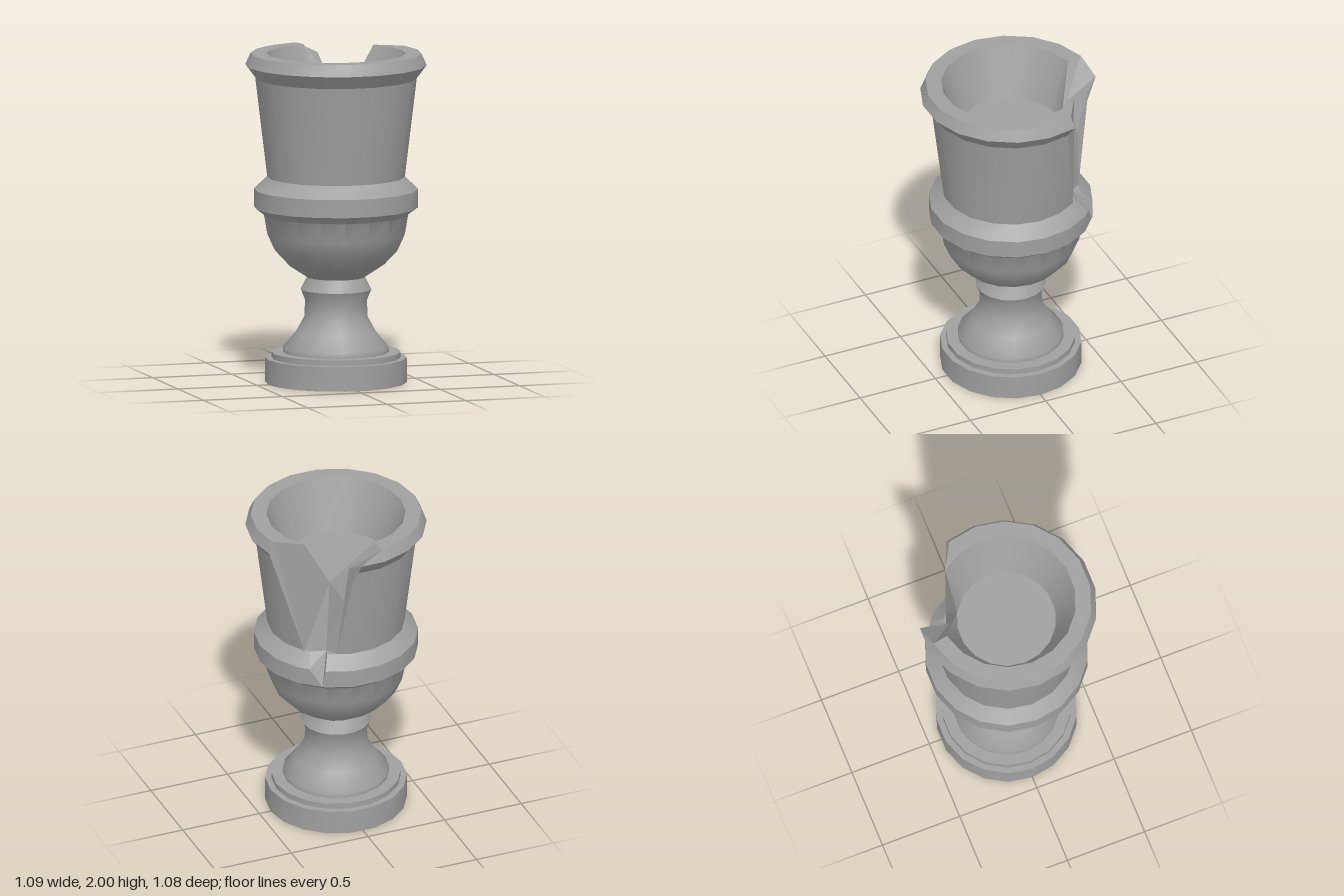
import * as THREE from 'three';
import { toCreasedNormals } from 'three/addons/utils/BufferGeometryUtils.js';

const STEP = 20; // 18 sides
const STONE = 0xa0a0a0;
const rad = THREE.MathUtils.degToRad;

// Point on an 18-sided ring: angle in degrees from +x towards the back
function at(r, y, deg) {
  const m = ((deg % STEP) + STEP) % STEP;
  const f = r * Math.cos(rad(STEP / 2)) / Math.cos(rad(m - STEP / 2));
  return new THREE.Vector3(f * Math.cos(rad(deg)), y, -f * Math.sin(rad(deg)));
}

function fromTriangles(tris) {
  const solid = tris.filter((t) => new THREE.Triangle(...t).getArea() > 1e-7);
  const geometry = new THREE.BufferGeometry().setFromPoints(solid.flat());
  geometry.computeVertexNormals();
  return geometry;
}

// Turned surface from levels [radius, y, startAngle, endAngle];
// each level stops at its own angles, which leaves a ragged gap
function turned(levels, crease = 0.5) {
  const tris = [];
  const corner = ([r, y, start = 40, end = 400], a) =>
    at(r, y, THREE.MathUtils.clamp(a, start, end));
  for (let i = 0; i + 1 < levels.length; i++) {
    for (let a = 40; a < 420; a += STEP) {
      const A = corner(levels[i], a), B = corner(levels[i], a + STEP);
      const C = corner(levels[i + 1], a + STEP), D = corner(levels[i + 1], a);
      tris.push([A, B, C], [A, C, D]);
    }
  }
  return toCreasedNormals(fromTriangles(tris), crease);
}

const fan = (hub, points) => points.slice(1).map((p, i) => [hub, points[i], p]);

export function createModel() {
  const group = new THREE.Group();
  const smooth = new THREE.MeshStandardMaterial({ color: STONE, side: THREE.DoubleSide });
  const rough = new THREE.MeshStandardMaterial({
    color: STONE, flatShading: true, side: THREE.DoubleSide,
  });
  const add = (name, geometry, material = smooth) => {
    const mesh = new THREE.Mesh(geometry, material);
    mesh.name = name;
    group.add(mesh);
  };

  // Stepped plinth
  add('plinth', turned([
    [0, 0], [0.427, 0], [0.427, 0.15], [0.39, 0.15], [0.39, 0.185], [0.32, 0.185],
  ]));

  // Flared stem with a neck ring
  add('stem', turned([
    [0.32, 0.185], [0.32, 0.215], [0.24, 0.31], [0.19, 0.4], [0.187, 0.5],
    [0.213, 0.565], [0.175, 0.64],
  ], 0.8));

  // Rounded bowl, running smoothly into the underside of the collar
  add('bowl', turned([
    [0.175, 0.64], [0.29, 0.715], [0.37, 0.8], [0.415, 0.9], [0.435, 1.02], [0.495, 1.065],
  ], 0.8));

  // Collar, chipped at the back left
  const collar = [
    [0.495, 1.065, 58, 418], [0.495, 1.175, 60, 408], [0.415, 1.25, 60, 405],
  ];
  add('collar', turned(collar));

  // Cup wall, lip, inner wall and floor, with a broken gap at the back left
  const cup = [
    [0.415, 1.25, 68, 400], [0.487, 1.85, 81, 380], [0.547, 1.93, 84, 380],
    [0.515, 2, 100, 380], [0.42, 2, 100, 400], [0.3, 1.69, 60, 420], [0, 1.69, 60, 420],
  ];
  add('cup', turned(cup));

  // Broken faces closing both ends of the gap, the ledge and the chip
  const floorPoint = at(0.3, 1.69, 60);
  const ledgePoint = new THREE.Vector3(0.195, 1.25, -0.315);
  const innerPoint = new THREE.Vector3(0.06, 1.81, -0.345);
  const midPoint = new THREE.Vector3(0.11, 1.62, -0.39);
  const wall = cup.slice(0, 5);
  const starts = wall.map(([r, y, s]) => at(r, y, s));
  const ends = wall.map(([r, y, , e]) => at(r, y, e));
  const chip = [
    ...collar.map(([r, y, s]) => at(r, y, s)).reverse(),
    ...collar.slice(1).map(([r, y, , e]) => at(r, y, e)),
  ];
  add('brokenEdge', fromTriangles([
    ...fan(midPoint, [floorPoint, ledgePoint, ...starts.slice(0, 3), innerPoint, floorPoint]),
    ...fan(innerPoint, [...starts.slice(2), floorPoint]),
    ...fan(ends[0], [ledgePoint, floorPoint, ...ends.slice(1).reverse()]),
    ...fan(ledgePoint, [starts[0], ...chip, ends[0]]),
  ]), rough);

  return group;
}
